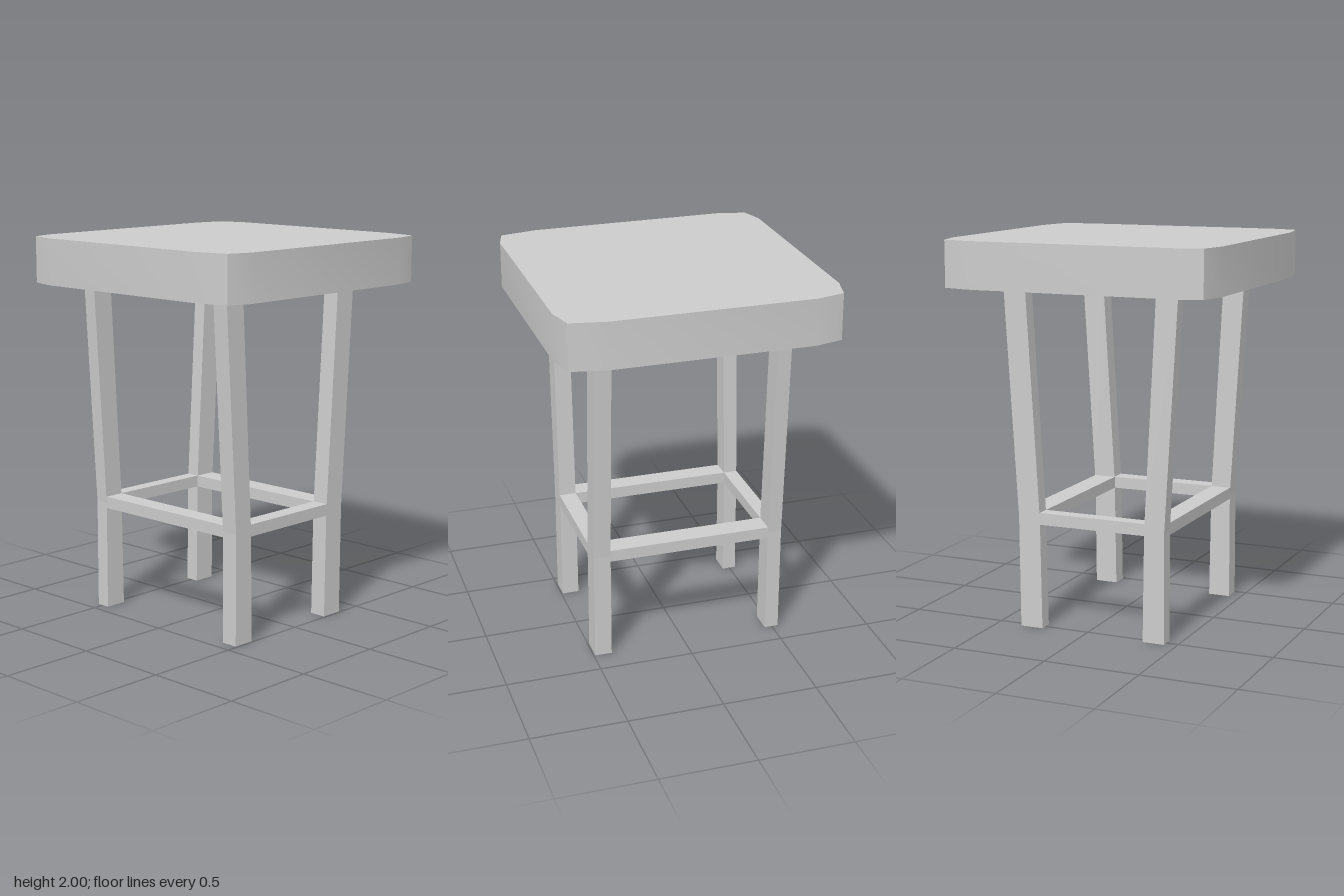
import * as THREE from 'three';
import { toCreasedNormals } from 'three/addons/utils/BufferGeometryUtils.js';

const material = new THREE.MeshStandardMaterial({ color: 0xcccccc });
const SEAT_BOTTOM = 1.76, SEAT_TOP = 2, KNEE = 0.58;

// Seat: chamfered square slab, gently rounded at the corners
function createSeat() {
  const outline = [
    [-0.57, 0.714], [0.547, 0.714], [0.69, 0.679], [0.726, 0.488],
    [0.726, -0.541], [0.69, -0.689], [0.547, -0.724], [-0.57, -0.724],
    [-0.693, -0.689], [-0.728, -0.541], [-0.728, 0.488], [-0.693, 0.679],
  ];
  const shape = new THREE.Shape(outline.map(([x, z]) => new THREE.Vector2(x, -z)));
  const geometry = new THREE.ExtrudeGeometry(shape, { depth: SEAT_TOP - SEAT_BOTTOM, bevelEnabled: false });
  geometry.rotateX(-Math.PI / 2).translate(0, SEAT_BOTTOM, 0);
  return new THREE.Mesh(toCreasedNormals(geometry, 0.5), material);
}

// Leg: a square post that bends outward above the knee; rows hold [y, xMin, xMax]
function createLeg(rows, zMin, zMax) {
  const geometry = new THREE.BoxGeometry(1, 2, 1, 1, 2, 1);
  const p = geometry.attributes.position;
  for (let i = 0; i < p.count; i++) {
    const [y, xMin, xMax] = rows[Math.round(p.getY(i)) + 1];
    p.setXYZ(i, p.getX(i) < 0 ? xMin : xMax, y, p.getZ(i) < 0 ? zMin : zMax);
  }
  return new THREE.Mesh(toCreasedNormals(geometry, 0.03), material);
}

// Rail: straight bar between two legs
function createRail(xMin, xMax, zMin, zMax) {
  const yMin = 0.55, yMax = 0.612;
  const mesh = new THREE.Mesh(new THREE.BoxGeometry(xMax - xMin, yMax - yMin, zMax - zMin), material);
  mesh.position.set((xMin + xMax) / 2, (yMin + yMax) / 2, (zMin + zMax) / 2);
  return mesh;
}

export function createModel() {
  const group = new THREE.Group();
  const add = (name, mesh) => {
    mesh.name = name;
    group.add(mesh);
  };

  add('seat', createSeat());

  const sides = {
    Right: [[0, -0.437, -0.32], [KNEE, -0.435, -0.327], [SEAT_BOTTOM, -0.503, -0.387]],
    Left: [[0, 0.243, 0.365], [KNEE, 0.252, 0.371], [SEAT_BOTTOM, 0.323, 0.444]],
  };
  const ends = { front: [0.402, 0.492], back: [-0.534, -0.46] };

  // Four legs, a rail along each end and each side
  for (const [end, [zMin, zMax]] of Object.entries(ends)) {
    for (const [side, rows] of Object.entries(sides)) add(`${end}${side}Leg`, createLeg(rows, zMin, zMax));
    add(`${end}Rail`, createRail(-0.329, 0.255, zMin, zMax));
  }
  for (const [side, rows] of Object.entries(sides)) {
    add(`side${side}Rail`, createRail(rows[1][1], rows[1][2], ends.back[1], ends.front[0]));
  }
  return group;
}
